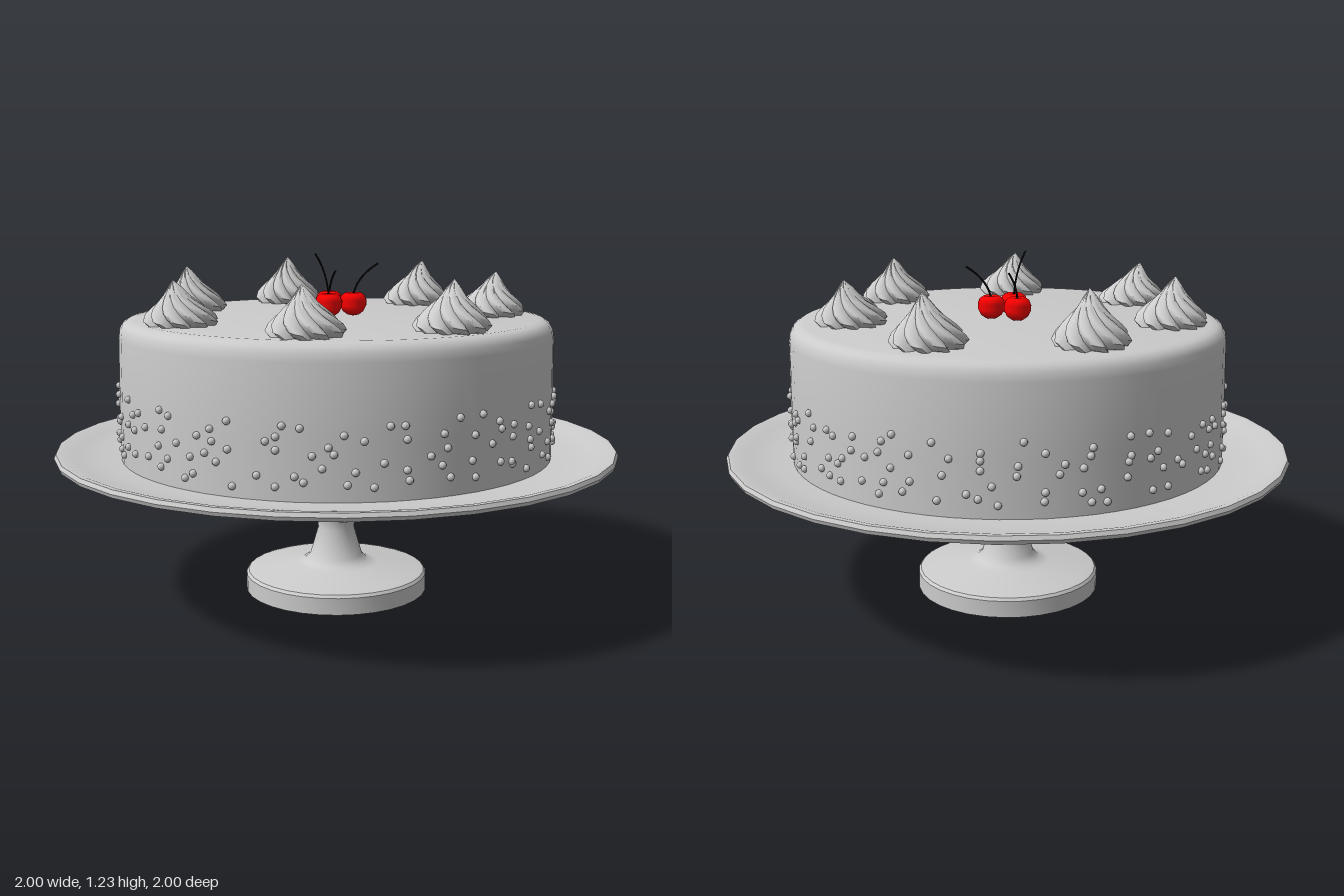
import * as THREE from 'three';
import { toCreasedNormals, mergeGeometries } from 'three/addons/utils/BufferGeometryUtils.js';

const grey = new THREE.MeshStandardMaterial({ color: 0xcccccc });
const red = new THREE.MeshStandardMaterial({ color: 0xff0000 });
const black = new THREE.MeshStandardMaterial({ color: 0x080808 });

function add(parent, name, geometry, material = grey) {
  const mesh = new THREE.Mesh(geometry, material);
  mesh.name = name;
  parent.add(mesh);
  return mesh;
}

function lathe(profile, segments, crease = 0.6) {
  const points = profile.map(([r, y]) => new THREE.Vector2(r, y));
  return toCreasedNormals(new THREE.LatheGeometry(points, segments), crease);
}

function seeded(seed) {
  return () => (seed = (seed * 16807) % 2147483647) / 2147483647;
}

// Piped cream: saw-toothed rings that twist and narrow up to a leaning tip
function creamGeometry(height) {
  const folds = 10, steps = 6, around = folds * steps;
  // radius, height share, fold depth
  const profile = [[0.09, 0, 0.1], [0.112, 0.06, 0.2], [0.125, 0.18, 0.24], [0.115, 0.31, 0.25],
    [0.094, 0.44, 0.25], [0.068, 0.58, 0.25], [0.044, 0.72, 0.22], [0.022, 0.86, 0.15], [0.001, 1, 0]];
  const positions = [], indices = [];
  profile.forEach(([radius, level, depth], row) => {
    const twist = -1.5 * level;
    const lean = 0.025 * level * level;
    for (let i = 0; i < around; i++) {
      const t = (i % steps) / (steps - 1);
      const a = ((Math.floor(i / steps) + t * 0.92) / folds) * Math.PI * 2 + twist;
      const r = radius * (1 - depth + depth * Math.sin(t * Math.PI * 0.6) * 1.1);
      const droop = level > 0 && level < 0.8 ? -0.012 * t : 0;
      positions.push(Math.sin(a) * r + lean, level * height + droop, Math.cos(a) * r);
      if (row < profile.length - 1) {
        const p = row * around + i, q = row * around + (i + 1) % around;
        indices.push(p, q, q + around, p, q + around, p + around);
      }
    }
  });
  const geometry = new THREE.BufferGeometry();
  geometry.setAttribute('position', new THREE.Float32BufferAttribute(positions, 3));
  geometry.setIndex(indices);
  return toCreasedNormals(geometry, 0.7);
}

export function createModel() {
  const model = new THREE.Group();
  model.name = 'cakeOnStand';

  // Stand: round foot, waisted stem and shallow dished plate
  add(model, 'cakeStand', lathe([
    [0, 0], [0.33, 0], [0.33, 0.06], [0.322, 0.07], [0.3, 0.076], [0.15, 0.094], [0.115, 0.103],
    [0.095, 0.125], [0.066, 0.225], [0.068, 0.26], [0.105, 0.385], [0.12, 0.418], [0.15, 0.435],
    [0.22, 0.443], [0.42, 0.449], [0.62, 0.46], [0.82, 0.483], [0.96, 0.507], [0.995, 0.517],
    [1, 0.53], [0.993, 0.543], [0.975, 0.543], [0.93, 0.53], [0.84, 0.518], [0.74, 0.512], [0, 0.51],
  ], 32));

  // Cake with a rounded top edge
  add(model, 'cake', lathe([
    [0, 0.505], [0.768, 0.505], [0.768, 0.7], [0.765, 0.94], [0.761, 0.967], [0.75, 0.986],
    [0.733, 0.996], [0.71, 1], [0, 1],
  ], 64));

  // Sugar pearls scattered in a band round the side
  const random = seeded(4217);
  const pearls = [];
  const rows = 5, perRow = 42;
  for (let row = 0; row < rows; row++) {
    for (let i = 0; i < perRow; i++) {
      const a = ((i + (row % 2) / 2 + (random() - 0.5) * 0.8) / perRow) * Math.PI * 2;
      const y = 0.565 + row * 0.044 + (random() - 0.5) * 0.04;
      pearls.push(new THREE.SphereGeometry(0.0125, 10, 7)
        .translate(Math.sin(a) * 0.77, y, Math.cos(a) * 0.77));
    }
  }
  add(model, 'sugarPearls', mergeGeometries(pearls));

  // Ring of piped cream: x, z, height
  const cream = new THREE.Group();
  cream.name = 'creamSwirls';
  model.add(cream);
  [[0.01, -0.57, 0.17], [0.44, -0.33, 0.155], [0.555, 0.185, 0.165], [0.235, 0.545, 0.16],
    [-0.285, 0.515, 0.15], [-0.565, 0.105, 0.165], [-0.45, -0.35, 0.18]].forEach(([x, z, h], i) => {
    const swirl = add(cream, 'creamSwirl', creamGeometry(h));
    swirl.position.set(x, 0.998, z);
    swirl.rotation.y = i * 0.9;
  });

  // Three cherries, each with a curved stem ending at the given tip
  const dimple = lathe([[0, -0.045], [0.02, -0.041], [0.037, -0.029], [0.047, -0.008], [0.048, 0.01],
    [0.041, 0.028], [0.027, 0.037], [0.012, 0.036], [0, 0.031]], 20, 1);
  [[-0.057, -0.043, [-0.012, 1.16, -0.018]], [0.043, -0.045, [0.118, 1.185, -0.092]],
    [-0.005, 0.041, [-0.023, 1.225, 0.102]]].forEach(([x, z, tip]) => {
    const cherry = new THREE.Group();
    cherry.name = 'cherry';
    model.add(cherry);
    add(cherry, 'cherryFruit', dimple, red).position.set(x, 1.045, z);
    const end = new THREE.Vector3(...tip);
    const start = new THREE.Vector3(x, 1.072, z);
    const bend = new THREE.Vector3(x + (tip[0] - x) * 0.15, 1.072 + (tip[1] - 1.072) * 0.6,
      z + (tip[2] - z) * 0.15);
    add(cherry, 'cherryStem', new THREE.TubeGeometry(
      new THREE.QuadraticBezierCurve3(start, bend, end), 12, 0.0035, 6), black);
  });

  return model;
}
